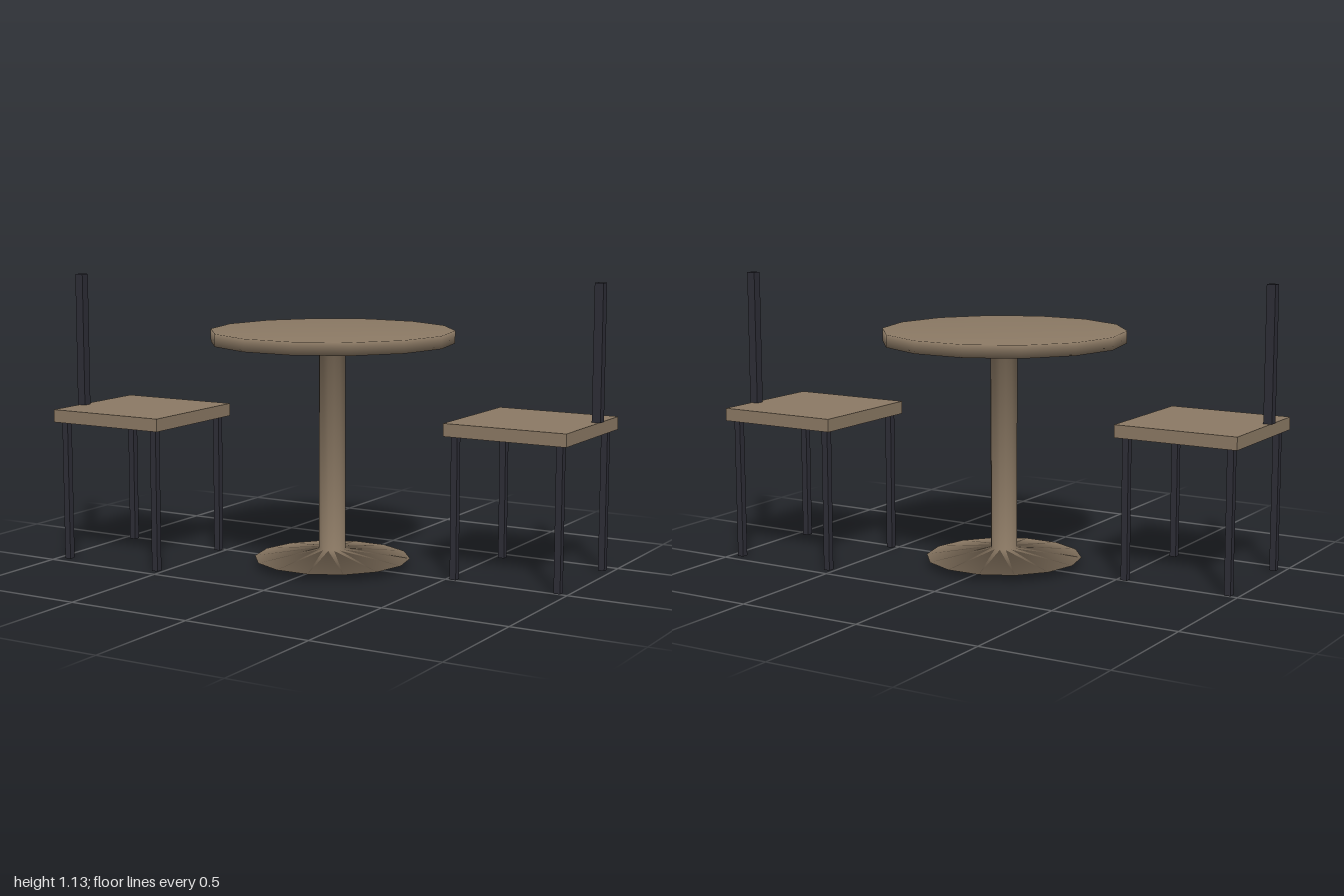
import * as THREE from 'three';

const wood = new THREE.MeshStandardMaterial({ name: 'wood', color: 0x8b7964 });
const metal = new THREE.MeshStandardMaterial({ name: 'darkMetal', color: 0x2d2d36 });

function box(name, material, size, position) {
  const mesh = new THREE.Mesh(new THREE.BoxGeometry(...size), material);
  mesh.name = name;
  mesh.position.set(...position);
  return mesh;
}

// Pedestal table: one smooth 14-sided turned form, closed by a flat top
function createTable() {
  const sides = 14;
  const profile = [
    [0, 0.003], [0.307, 0.028], [0.052, 0.064], [0.052, 0.853],
    [0.475, 0.879], [0.475, 0.928], [0, 0.928],
  ].map(([r, y]) => new THREE.Vector2(r, y));
  const geometry = new THREE.LatheGeometry(profile, sides, Math.PI / 2);

  // Replace the last ring of faces with a single flat polygon across the rim
  const count = profile.length;
  const source = geometry.index.array;
  const index = [];
  for (let i = 0; i < source.length; i += 3) {
    const tri = [source[i], source[i + 1], source[i + 2]];
    if (tri.every((v) => v % count !== count - 1)) index.push(...tri);
  }
  const rim = (i) => i * count + count - 2;
  for (let i = 1; i < sides - 1; i++) index.push(rim(0), rim(i), rim(i + 1));
  geometry.setIndex(index);

  const table = new THREE.Mesh(geometry, wood);
  table.name = 'pedestalTable';
  return table;
}

// Chair with a square seat, four legs and a single offset back post
function createChair(name) {
  const chair = new THREE.Group();
  chair.name = name;
  chair.add(box('seat', wood, [0.5, 0.05, 0.5], [0.7435, 0.577, -0.23]));
  for (const sx of [-1, 1]) {
    for (const sz of [-1, 1]) {
      chair.add(box('leg', metal, [0.026, 0.552, 0.026],
        [0.7435 + sx * 0.214, 0.276, -0.23 + sz * 0.214]));
    }
  }
  chair.add(box('backPost', metal, [0.035, 0.525, 0.035], [0.9825, 0.8645, -0.302]));
  return chair;
}

export function createModel() {
  const model = new THREE.Group();
  model.name = 'tableWithChairs';
  const leftChair = createChair('leftChair');
  const rightChair = createChair('rightChair');
  rightChair.rotation.y = Math.PI;
  model.add(createTable(), leftChair, rightChair);
  return model;
}
